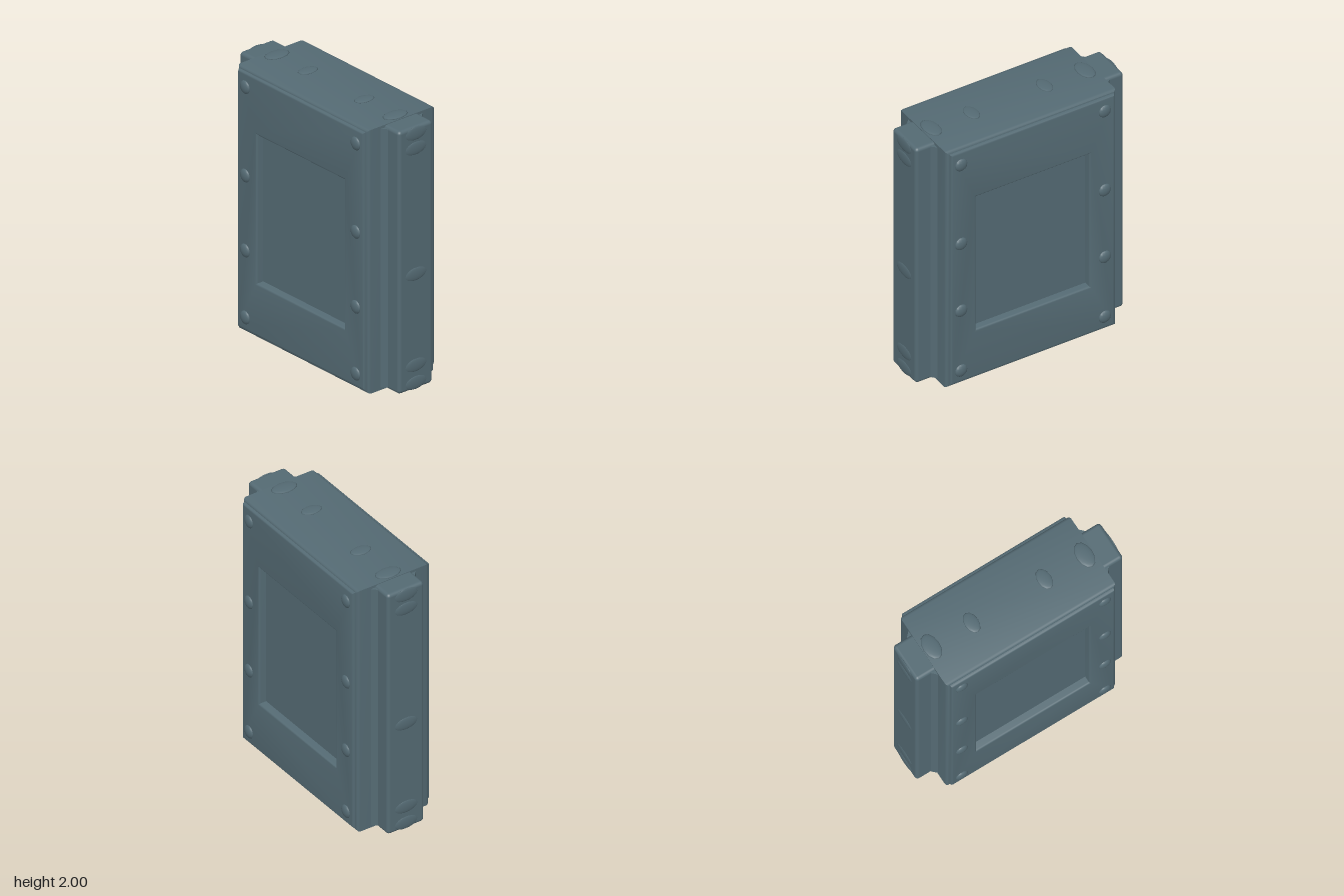
import * as THREE from 'three';
import { toCreasedNormals } from 'three/addons/utils/BufferGeometryUtils.js';
import { RoundedBoxGeometry } from 'three/addons/geometries/RoundedBoxGeometry.js';

const slate = new THREE.MeshStandardMaterial({ name: 'slate', color: 0x546a73 });

// Rectangle outline centred on x = 0, from y0 to y1
function rect(PathType, halfWidth, y0, y1) {
  const path = new PathType();
  path.moveTo(-halfWidth, y0);
  path.lineTo(halfWidth, y0);
  path.lineTo(halfWidth, y1);
  path.lineTo(-halfWidth, y1);
  path.closePath();
  return path;
}

// Bevelled frame with a rectangular opening, centred on z = 0
function frameGeometry(outer, inner, halfDepth, bevel) {
  const [w, y0, y1] = outer;
  const [iw, iy0, iy1] = inner;
  const shape = rect(THREE.Shape, w - bevel, y0 + bevel, y1 - bevel);
  shape.holes.push(rect(THREE.Path, iw + bevel, iy0 - bevel, iy1 + bevel));
  const geometry = new THREE.ExtrudeGeometry(shape, {
    depth: 2 * (halfDepth - bevel), bevelEnabled: true,
    bevelSize: bevel, bevelThickness: bevel, bevelSegments: 3,
  });
  geometry.translate(0, 0, -(halfDepth - bevel));
  return toCreasedNormals(geometry, 0.7);
}

export function createModel() {
  const group = new THREE.Group();
  group.name = 'framedPanelBlock';

  const add = (name, geometry, x = 0, y = 0, z = 0) => {
    const mesh = new THREE.Mesh(geometry, slate);
    mesh.name = name;
    mesh.position.set(x, y, z);
    group.add(mesh);
    return mesh;
  };

  // Thick main frame, open in the middle, with a slightly raised face trim
  const opening = [0.45, 0.435, 1.545];
  add('mainFrame', frameGeometry([0.675, 0.015, 1.985], opening, 0.295, 0.025));
  add('raisedTrim', frameGeometry([0.65, 0.045, 1.965], opening, 0.316, 0.015));

  // Shallow recessed panel seen from both faces
  add('recessedPanel', new THREE.BoxGeometry(1.0, 1.2, 0.516), 0, 0.99, 0);

  for (const side of [-1, 1]) {
    // Narrower flanges along both sides
    add('sideFlange', new RoundedBoxGeometry(0.23, 1.96, 0.3, 3, 0.025), side * 0.71, 1, 0);
    // Sloped fillets where the flanges meet the frame
    for (const face of [-1, 1]) {
      const fillet = add('flangeFillet', new THREE.BoxGeometry(0.05, 1.93, 0.05), side * 0.675, 1, face * 0.15);
      fillet.rotation.y = Math.PI / 4;
    }
  }

  // Low worn knobs
  const knob = new THREE.SphereGeometry(1, 12, 8);
  const addKnob = (x, y, z, sx, sy, sz) => add('knob', knob, x, y, z).scale.set(sx, sy, sz);
  for (const sx of [-1, 1]) {
    for (const sz of [-1, 1]) {
      for (const y of [0.14, 0.64, 1.2, 1.86]) {
        addKnob(sx * 0.57, y, sz * 0.313, 0.05, 0.05, 0.022);
      }
    }
    for (const y of [0.07, 0.2, 0.88, 1.82, 1.93]) {
      addKnob(sx * 0.822, y, 0, 0.01, 0.05, 0.1);
    }
    for (const y of [0.012, 1.988]) {
      addKnob(sx * 0.61, y, 0, 0.06, 0.012, 0.1);
      addKnob(sx * 0.29, y, 0, 0.05, 0.01, 0.08);
    }
  }
  return group;
}
